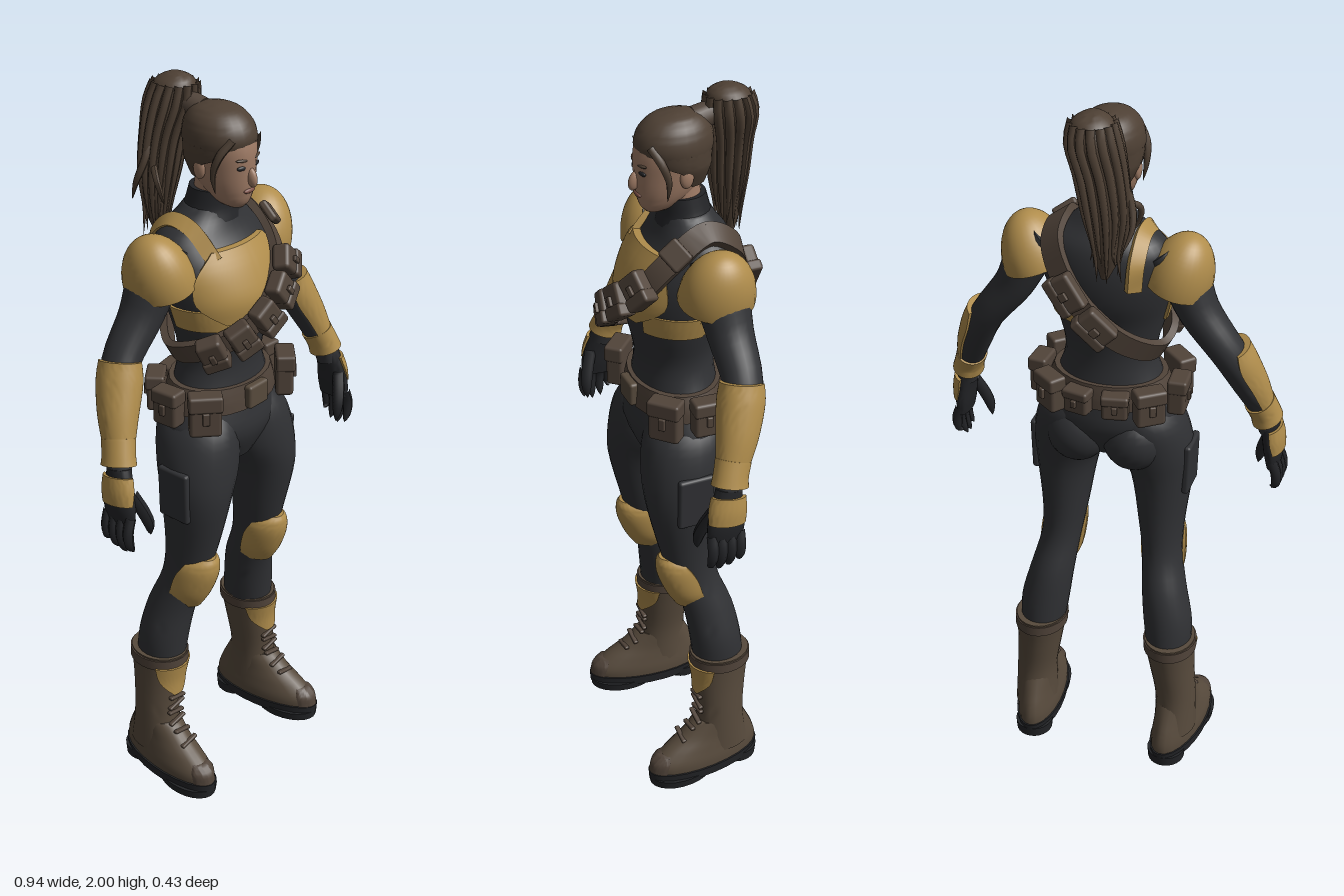
import * as THREE from 'three';
import { toCreasedNormals, mergeGeometries } from 'three/addons/utils/BufferGeometryUtils.js';
import { RoundedBoxGeometry } from 'three/addons/geometries/RoundedBoxGeometry.js';

const V = (x, y, z) => new THREE.Vector3(x, y, z);
const paint = (name, color, side = THREE.FrontSide) => {
  const m = new THREE.MeshStandardMaterial({ color, side });
  m.name = name;
  return m;
};

// Closed skin over a list of equal-length point rings
function skin(rings) {
  const n = rings[0].length;
  const mid = r => r.reduce((s, p) => s.add(p), V(0, 0, 0)).divideScalar(n);
  const flat = r => r.map(() => mid(r));
  const rows = [flat(rings[0]), ...rings, flat(rings.at(-1))];
  const pos = [], index = [];
  rows.forEach(r => r.forEach(p => pos.push(p.x, p.y, p.z)));
  for (let i = 0; i < rows.length - 1; i++) for (let j = 0; j < n; j++) {
    const a = i * n + j, b = i * n + (j + 1) % n, c = a + n, d = b + n;
    if (i > 0) index.push(a, c, b);
    if (i < rows.length - 2) index.push(b, c, d);
    else if (i > 0) index.splice(-3, 3, a, c, b);
  }
  const g = new THREE.BufferGeometry();
  g.setAttribute('position', new THREE.Float32BufferAttribute(pos, 3));
  g.setIndex(index);
  return toCreasedNormals(g, 0.9);
}

// Smooth oval loft; rows are [x, y, z, rx, rz, fromDeg, toDeg]; 0 deg is +x, 90 is front.
// A partial arc is closed through the centre. Tilted rings follow the path direction.
function loft(rows, { tilt = false, seg = 24, sub = 4 } = {}) {
  const at = (i, k) => rows[Math.min(Math.max(i, 0), rows.length - 1)][k];
  const sample = t => {
    const i = Math.min(Math.floor(t), rows.length - 2), f = t - i;
    return rows[0].map((_, k) => {
      const a = at(i - 1, k), b = at(i, k), c = at(i + 1, k), d = at(i + 2, k);
      return b + 0.5 * f * (c - a + f * (2 * a - 5 * b + 4 * c - d + f * (3 * (b - c) + d - a)));
    });
  };
  const rings = [], count = (rows.length - 1) * sub;
  for (let s = 0; s <= count; s++) {
    const t = s / sub, [x, y, z, rx, rz, a0, a1] = sample(t);
    const p = sample(Math.max(t - 0.05, 0)), q = sample(Math.min(t + 0.05, rows.length - 1));
    const T = tilt ? V(q[0] - p[0], q[1] - p[1], q[2] - p[2]).normalize() : V(0, 1, 0);
    const B = V(0, 0, 1).addScaledVector(T, -T.z).normalize(), A = T.clone().cross(B), ring = [];
    const arc = a0 !== undefined, m = arc ? seg + 1 : seg;
    for (let j = 0; j < m; j++) {
      const w = arc ? THREE.MathUtils.degToRad(a0 + (a1 - a0) * j / seg) : j / seg * Math.PI * 2;
      ring.push(V(x, y, z).addScaledVector(A, rx * Math.cos(w)).addScaledVector(B, rz * Math.sin(w)));
    }
    if (arc) ring.push(V(x, y, z));
    rings.push(ring);
  }
  return skin(rings);
}

// Direction frame of a strap lying on the torso
function strapFrame(curve, t) {
  const p = curve.getPoint(t), T = curve.getTangent(t);
  const N = V(p.x - 0.02, (p.y - 1.45) * 0.7, p.z);
  N.addScaledVector(T, -N.dot(T)).normalize();
  return { p, T, N, W: N.clone().cross(T) };
}
function strap(curve, width, thick, steps = 60) {
  const rings = [];
  for (let i = 0; i <= steps; i++) {
    const { p, N, W } = strapFrame(curve, i / steps);
    rings.push([[1, 1], [-1, 1], [-1, -1], [1, -1]].map(([n, w]) =>
      p.clone().addScaledVector(N, n * thick / 2).addScaledVector(W, w * width / 2)));
  }
  return skin(rings);
}

// Tapering rounded strand, for locks and fingers
function strand(points, r, power = 3) {
  const curve = new THREE.CatmullRomCurve3(points.map(p => V(...p)));
  const g = new THREE.TubeGeometry(curve, 14, r, 7), pos = g.attributes.position;
  for (let i = 0; i < pos.count; i++) {
    const t = Math.floor(i / 8) / 14, c = curve.getPointAt(t);
    const v = V(0, 0, 0).fromBufferAttribute(pos, i).sub(c).multiplyScalar(1 - 0.97 * t ** power).add(c);
    pos.setXYZ(i, v.x, v.y, v.z);
  }
  g.computeVertexNormals();
  return g;
}

const place = (g, p, r = [0, 0, 0], s = [1, 1, 1]) => g.applyMatrix4(new THREE.Matrix4().compose(
  V(...p), new THREE.Quaternion().setFromEuler(new THREE.Euler(...r)), V(...s)));
const ball = (p, s, r) => place(new THREE.SphereGeometry(1, 20, 14), p, r, s);
const box = (w, h, d, r = 0.008) => new RoundedBoxGeometry(w, h, d, 2, r);
const pouch = (w, h, d) => mergeGeometries([box(w, h, d, 0.01),
  place(box(w * 1.06, h * 0.4, d * 1.1), [0, h * 0.32, d * 0.05]),
  place(box(w * 0.22, h * 0.3, 0.01, 0.003), [0, 0, d * 0.6])]);

function mirror(geo) {
  const g = geo.index ? geo.toNonIndexed() : geo.clone();
  g.scale(-1, 1, 1);
  for (const { array: a, itemSize: n } of Object.values(g.attributes))
    for (let i = 0; i < a.length; i += 3 * n) for (let k = 0; k < n; k++)
      [a[i + k], a[i + 2 * n + k]] = [a[i + 2 * n + k], a[i + k]];
  return g;
}

export function createModel() {
  const root = new THREE.Group();
  root.name = 'armouredScout';
  const suit = paint('charcoal suit', 0x303134), glove = paint('black rubber', 0x232427);
  const gold = paint('ochre armour', 0xb08d4c, THREE.DoubleSide), leather = paint('brown leather', 0x51443a);
  const boot = paint('boot leather', 0x574a3c), hair = paint('dark brown hair', 0x4e4034);
  const skinTone = paint('skin', 0xa07c66), lip = paint('lips', 0x7e5248);
  const add = (name, geo, mat) => {
    const m = new THREE.Mesh(geo, mat);
    m.name = name;
    root.add(m);
  };
  const pair = (name, geo, mat) => { add(name + 'Left', geo, mat); add(name + 'Right', mirror(geo), mat); };

  // Torso and collar
  add('torso', loft([[0, 0.99, 0.02, 0.08, 0.08], [0, 1.08, 0.015, 0.185, 0.122], [0, 1.17, 0.012, 0.16, 0.113],
    [0, 1.28, 0.012, 0.122, 0.1], [0, 1.38, 0.015, 0.142, 0.115], [0, 1.47, 0.005, 0.165, 0.138],
    [0, 1.55, -0.012, 0.178, 0.13], [0, 1.62, -0.03, 0.16, 0.1], [0, 1.665, -0.025, 0.1, 0.075],
    [0, 1.69, -0.02, 0.07, 0.065]], { seg: 36 }), suit);
  add('collar', loft([[0, 1.655, -0.02, 0.085, 0.075], [0, 1.69, -0.018, 0.07, 0.066], [0, 1.735, -0.012, 0.06, 0.06]]), glove);

  // Chest armour: breastplate, rib bands and shoulder strip
  add('breastplate', loft([[-0.01, 1.42, 0.01, 0.165, 0.142, 65, 125], [-0.01, 1.48, 0.005, 0.178, 0.153, 35, 152],
    [-0.01, 1.55, -0.01, 0.185, 0.142, 42, 145], [-0.01, 1.605, -0.02, 0.17, 0.118, 55, 125]]), gold);
  pair('ribBand', loft([[0, 1.395, 0.013, 0.153, 0.126, -8, 62], [0, 1.425, 0.01, 0.161, 0.134, -8, 62],
    [0, 1.455, 0.007, 0.168, 0.14, -8, 62]]), gold);
  add('backBand', loft([[0, 1.4, 0.012, 0.154, 0.127, -85, 0], [0, 1.445, 0.008, 0.166, 0.139, -85, 0]]), gold);
  add('shoulderStrip', strap(new THREE.CatmullRomCurve3([V(-0.1, 1.58, 0.083), V(-0.105, 1.648, 0.01),
    V(-0.105, 1.655, -0.06), V(-0.105, 1.6, -0.12), V(-0.1, 1.53, -0.125)]), 0.04, 0.018, 24), gold);

  // Bandolier with pouches
  const loop = [V(0.12, 1.665, -0.03), V(0.12, 1.605, 0.07), V(0.09, 1.53, 0.13), V(0, 1.45, 0.165),
    V(-0.09, 1.385, 0.135), V(-0.15, 1.34, 0.05), V(-0.14, 1.32, -0.03), V(-0.08, 1.36, -0.1),
    V(0, 1.44, -0.14), V(0.08, 1.55, -0.14), V(0.12, 1.63, -0.1)];
  const sling = new THREE.CatmullRomCurve3(loop, true);
  add('bandolierStrap', strap(sling, 0.06, 0.02, 80), leather);
  const slung = (name, u, geo) => {
    const { p, T, N, W } = strapFrame(sling, u / loop.length);
    add(name, geo.applyMatrix4(new THREE.Matrix4().makeBasis(T, W, N).setPosition(p.addScaledVector(N, 0.022))), leather);
  };
  [2.0, 2.6, 3.2, 3.85, 4.5].forEach((u, i) => slung('bandolierPouch' + i, u, pouch(0.068, 0.088, 0.046)));
  [7.9, 8.7].forEach((u, i) => slung('backPouch' + i, u, pouch(0.1, 0.075, 0.038)));
  slung('shoulderBuckle', 0.8, box(0.06, 0.07, 0.022));

  // Belt with pouches
  add('belt', loft([[0, 1.155, 0.013, 0.174, 0.124], [0, 1.19, 0.012, 0.168, 0.122], [0, 1.225, 0.012, 0.154, 0.117]]), leather);
  add('beltBuckle', place(box(0.075, 0.065, 0.025), [0, 1.19, 0.137]), boot);
  [[0.16, 0.1, 0.085, 0.115, 0.75], [0.188, 0.0, 0.075, 0.1, 1.5], [0.135, -0.09, 0.08, 0.1, 2.5], [0.05, -0.112, 0.07, 0.07, 2.95]]
    .forEach(([x, z, w, h, a], i) => pair('beltPouch' + i, place(pouch(w, h, 0.048), [x, 1.18, z], [0, a, 0]), leather));

  // Legs
  pair('leg', loft([[0.19, 0.34, -0.045, 0.06, 0.072], [0.182, 0.45, -0.035, 0.068, 0.072], [0.165, 0.55, -0.018, 0.062, 0.07],
    [0.148, 0.65, 0.015, 0.056, 0.067], [0.14, 0.75, 0.033, 0.064, 0.078], [0.135, 0.9, 0.045, 0.085, 0.1],
    [0.115, 1.0, 0.035, 0.106, 0.113], [0.1, 1.09, 0.02, 0.098, 0.115], [0.085, 1.15, 0.015, 0.07, 0.09]]), suit);
  pair('buttock', ball([0.078, 1.04, -0.04], [0.085, 0.09, 0.075]), suit);
  pair('thighPocket', place(box(0.02, 0.15, 0.1), [0.215, 0.94, 0.04], [0, 0, -0.03]), suit);
  pair('kneePad', loft([[0.152, 0.565, 0.0, 0.042, 0.07, 0, 180], [0.15, 0.61, 0.012, 0.061, 0.085, 0, 180],
    [0.146, 0.67, 0.03, 0.064, 0.09, 0, 180], [0.144, 0.71, 0.04, 0.058, 0.083, 10, 170],
    [0.144, 0.73, 0.045, 0.04, 0.07, 20, 160]]), gold);

  // Boots
  pair('bootShaft', loft([[0.213, 0.08, -0.04, 0.06, 0.085], [0.212, 0.19, -0.04, 0.057, 0.068], [0.2, 0.3, -0.043, 0.063, 0.074],
    [0.193, 0.37, -0.045, 0.069, 0.082], [0.192, 0.4, -0.045, 0.071, 0.084]]), boot);
  pair('bootCuff', loft([[0.193, 0.365, -0.045, 0.074, 0.087], [0.192, 0.395, -0.045, 0.075, 0.087]]), leather);
  pair('shinPlate', loft([[0.203, 0.275, -0.042, 0.068, 0.08, 75, 105], [0.198, 0.32, -0.044, 0.07, 0.083, 40, 140],
    [0.194, 0.37, -0.045, 0.078, 0.092, 30, 150]]), gold);
  const foot = g => place(g, [0.215, 0, 0], [0, 0.11, 0]);
  pair('bootFoot', foot(loft([[0, 0.03, 0.012, 0.064, 0.168], [0, 0.065, 0.012, 0.064, 0.168], [0, 0.1, -0.003, 0.058, 0.143],
    [0, 0.135, -0.022, 0.053, 0.108], [0, 0.18, -0.036, 0.052, 0.072]])), boot);
  pair('toeCap', foot(loft([[0, 0.045, 0.014, 0.066, 0.172, 55, 125], [0, 0.075, 0.012, 0.066, 0.168, 55, 125],
    [0, 0.095, 0.005, 0.061, 0.153, 65, 115]])), leather);
  pair('sole', foot(loft([[0, 0.015, 0.015, 0.066, 0.172], [0, 0.045, 0.014, 0.069, 0.175]])), glove);
  pair('soleTread', foot(loft([[0, 0, 0.085, 0.062, 0.098], [0, 0.025, 0.085, 0.066, 0.101]])), glove);
  pair('heel', foot(loft([[0, 0, -0.1, 0.052, 0.055], [0, 0.03, -0.1, 0.054, 0.058]])), glove);
  for (let i = 0; i < 6; i++)
    pair('lace' + i, place(box(0.06, 0.01, 0.014, 0.004),
      [0.216 - i * 0.0025, 0.135 + i * 0.025, [0.083, 0.055, 0.035, 0.028, 0.028, 0.029][i]], [0, 0, i % 2 ? 0.2 : -0.2]), leather);

  // Arms, shoulder pads and gauntlets
  pair('arm', loft([[0.15, 1.61, -0.03, 0.05, 0.06], [0.205, 1.54, -0.03, 0.06, 0.07], [0.25, 1.45, -0.035, 0.052, 0.06],
    [0.325, 1.35, -0.035, 0.045, 0.052], [0.375, 1.25, -0.002, 0.043, 0.047], [0.412, 1.15, 0.033, 0.033, 0.036],
    [0.425, 1.09, 0.047, 0.028, 0.034]], { tilt: true }), suit);
  pair('shoulderPad', place(new THREE.SphereGeometry(1, 28, 14, 0, Math.PI * 2, 0, Math.PI / 2),
    [0.185, 1.52, -0.025], [0, 0, -0.3], [0.088, 0.142, 0.1]), gold);
  pair('gauntlet', loft([[0.332, 1.36, -0.03, 0.05, 0.058, 60, 235], [0.347, 1.31, -0.02, 0.057, 0.062, 45, 245],
    [0.378, 1.24, 0.002, 0.05, 0.055, 45, 245], [0.402, 1.175, 0.025, 0.039, 0.044, 45, 245]], { tilt: true }), gold);
  pair('wristCuff', loft([[0.4, 1.185, 0.022, 0.041, 0.047], [0.413, 1.15, 0.034, 0.04, 0.046], [0.42, 1.125, 0.04, 0.042, 0.049]], { tilt: true }), gold);

  // Gloved hands
  pair('palm', loft([[0.424, 1.12, 0.044, 0.027, 0.034], [0.432, 1.07, 0.052, 0.026, 0.044], [0.438, 1.02, 0.057, 0.025, 0.05],
    [0.44, 0.98, 0.06, 0.018, 0.047]], { tilt: true }), glove);
  pair('handPlate', loft([[0.426, 1.1, 0.047, 0.035, 0.047, 90, 260], [0.434, 1.065, 0.052, 0.034, 0.052, 90, 265],
    [0.438, 1.03, 0.056, 0.031, 0.052, 100, 255]], { tilt: true }), gold);
  for (let i = 0; i < 4; i++) {
    const z = 0.022 + i * 0.025, tip = [0.92, 0.895, 0.89, 0.9][i];
    pair('finger' + i, strand([[0.442, 1.0, z], [0.455, 0.96, z + 0.002], [0.452, 0.925, z + 0.004], [0.438, tip, z + 0.006]], 0.0145, 6), glove);
  }
  pair('thumb', strand([[0.425, 1.06, 0.085], [0.405, 1.01, 0.103], [0.392, 0.97, 0.112], [0.385, 0.93, 0.112]], 0.017, 6), glove);

  // Head and face
  add('neck', loft([[0, 1.66, -0.015, 0.052, 0.053], [0, 1.77, 0.0, 0.05, 0.055]]), skinTone);
  add('head', loft([[0, 1.698, 0.06, 0.02, 0.026], [0, 1.715, 0.05, 0.041, 0.05], [0, 1.75, 0.032, 0.058, 0.078],
    [0, 1.8, 0.022, 0.068, 0.092], [0, 1.86, 0.018, 0.074, 0.095], [0, 1.915, 0.012, 0.064, 0.08], [0, 1.94, 0.01, 0.03, 0.04]]), skinTone);
  add('nose', ball([0, 1.784, 0.114], [0.011, 0.026, 0.016], [-0.3, 0, 0]), skinTone);
  add('mouth', ball([0, 1.748, 0.107], [0.02, 0.007, 0.007]), lip);
  pair('ear', ball([0.07, 1.8, 0.005], [0.01, 0.028, 0.018]), skinTone);
  pair('eye', ball([0.028, 1.812, 0.105], [0.013, 0.006, 0.005], [0, 0.3, 0]), glove);
  pair('eyebrow', ball([0.028, 1.832, 0.106], [0.018, 0.004, 0.005], [0, 0.3, 0.1]), hair);

  // Hair: crown, nape, front locks and ponytail
  add('hairCrown', loft([[0, 1.845, 0.008, 0.083, 0.094], [0, 1.875, 0.01, 0.084, 0.102], [0, 1.91, 0.008, 0.075, 0.092],
    [0, 1.938, 0.004, 0.052, 0.064], [0, 1.95, 0, 0.018, 0.022]]), hair);
  add('hairNape', loft([[0, 1.765, -0.005, 0.055, 0.066, 190, 350], [0, 1.81, 0, 0.077, 0.085, 172, 368],
    [0, 1.835, 0.006, 0.083, 0.092, 140, 400], [0, 1.86, 0.009, 0.084, 0.098, 125, 415]]), hair);
  pair('frontLock', strand([[0.045, 1.885, 0.09], [0.072, 1.845, 0.07], [0.077, 1.8, 0.055], [0.068, 1.745, 0.055]], 0.011), hair);
  add('hairTie', place(new THREE.CylinderGeometry(0.03, 0.034, 0.06, 16), [0, 1.925, -0.075], [-1.3, 0, 0]), leather);
  const tail = [[-0.04, 1.58, -0.165, 0.01, 0.012], [-0.045, 1.65, -0.16, 0.036, 0.034], [-0.04, 1.75, -0.155, 0.055, 0.044],
    [-0.025, 1.85, -0.15, 0.06, 0.05], [-0.005, 1.93, -0.142, 0.062, 0.062], [0, 1.975, -0.135, 0.05, 0.053], [0, 1.995, -0.13, 0.02, 0.025]];
  add('ponytail', loft(tail), hair);
  for (let i = 0; i < 14; i++) {
    const a = i / 14 * Math.PI * 2, c = Math.cos(a), s = Math.sin(a), flare = 1 + 0.35 * Math.sin(i * 5);
    const path = tail.slice(1, 6).reverse().map(([x, y, z, rx, rz]) => [x + c * rx, y, z + s * rz]);
    path.push([-0.045 + c * 0.035 * flare, 1.6 + 0.025 * Math.sin(i * 3), -0.16 + s * 0.03]);
    add('ponytailLock' + i, strand(path, 0.012), hair);
  }
  add('looseLock', strand([[-0.07, 1.85, -0.15], [-0.1, 1.79, -0.15], [-0.112, 1.73, -0.17], [-0.095, 1.67, -0.2]], 0.011), hair);
  add('looseCurl', strand([[-0.08, 1.78, -0.14], [-0.11, 1.75, -0.1], [-0.1, 1.7, -0.09], [-0.085, 1.68, -0.1]], 0.009), hair);
  return root;
}
